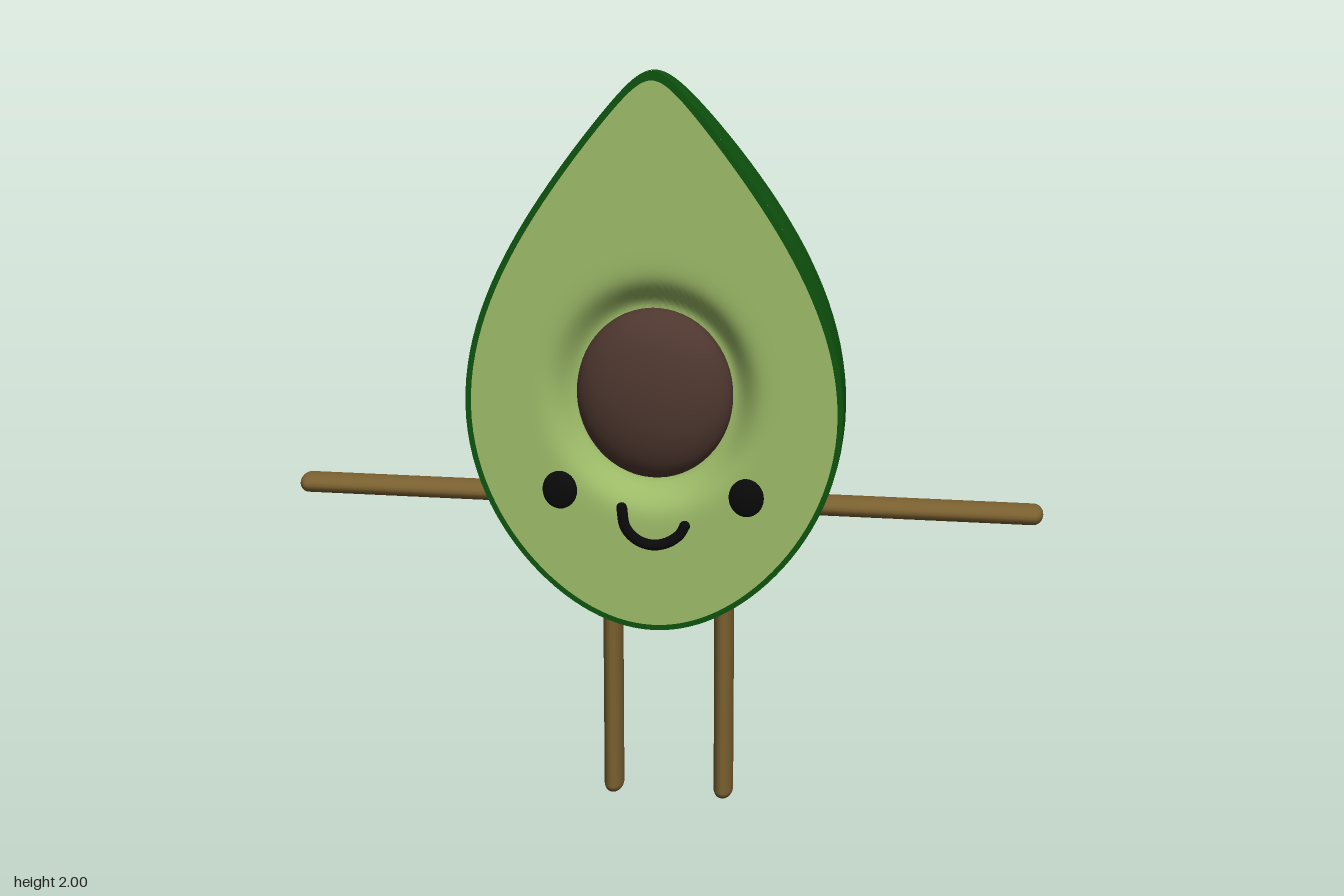
import * as THREE from 'three';
import { ParametricGeometry } from 'three/addons/geometries/ParametricGeometry.js';

const CUT_Z = 0.4; // plane of the sliced front
const PIT = { y: 1.18, rx: 0.2, ry: 0.22 };

// Egg outline, t = 0 at the bottom, PI at the top, running on round the other side
const eggY = (t) => 1.28 - 0.72 * Math.cos(t);
function eggSpan(t, size, lean, pinch) {
  const c = Math.cos(t);
  return size * Math.sin(t) * (1 + lean * c - pinch * c * c);
}
const halfWidth = (t) => eggSpan(t, 0.468, 0.32, 0.3);
const depth = (t) => eggSpan(t, 0.85, 0.22, 0.15);

// Outline of the flesh, set in by the thickness of the skin
const fleshX = (t) => halfWidth(t) * 0.97;
const fleshY = (t) => 0.574 + (eggY(t) - 0.56) * 0.974;

// Smooth hollow in the flesh around the pit
function fleshZ(x, y) {
  const q = Math.max(1, Math.hypot(x / PIT.rx, (y - PIT.y) / PIT.ry));
  return CUT_Z - 0.06 * Math.exp(-(((q - 1) / 0.25) ** 2));
}

export function createModel() {
  const model = new THREE.Group();
  const mat = (name, color) => {
    const m = new THREE.MeshStandardMaterial({ color });
    m.name = name;
    return m;
  };
  const skinGreen = mat('skinGreen', 0x0f540f);
  const fleshGreen = mat('fleshGreen', 0x9dbb68);
  const pitBrown = mat('pitBrown', 0x4e372f);
  const woodBrown = mat('woodBrown', 0x7a6030);
  const black = mat('black', 0x0a0a0a);

  const add = (name, geometry, material, x = 0, y = 0, z = 0) => {
    const mesh = new THREE.Mesh(geometry, material);
    mesh.name = name;
    mesh.position.set(x, y, z);
    model.add(mesh);
    return mesh;
  };

  // Rounded back of the fruit
  add('skin', new ParametricGeometry((u, v, p) => {
    const t = Math.PI * (0.002 + 0.996 * v);
    const a = Math.PI * u;
    p.set(halfWidth(t) * Math.cos(a), eggY(t), CUT_Z - depth(t) * Math.sin(a));
  }, 48, 64), skinGreen);

  // Thin edge of skin around the cut
  add('skinRim', new ParametricGeometry((u, v, p) => {
    const t = 2 * Math.PI * u;
    p.set(
      THREE.MathUtils.lerp(halfWidth(t), fleshX(t), v),
      THREE.MathUtils.lerp(eggY(t), fleshY(t), v),
      CUT_Z,
    );
  }, 128, 1), skinGreen);

  // Cut face with the hollow for the pit
  add('flesh', new ParametricGeometry((u, v, p) => {
    const t = 2 * Math.PI * u;
    const r = 1 - 0.999 * v;
    const x = fleshX(t) * r;
    const y = PIT.y + (fleshY(t) - PIT.y) * r;
    p.set(x, y, fleshZ(x, y));
  }, 128, 48), fleshGreen);

  // Pit
  const pit = add('pit', new THREE.SphereGeometry(1, 48, 32), pitBrown, 0, PIT.y, 0.36);
  pit.scale.set(PIT.rx, PIT.ry, 0.1);

  // Smile
  const smile = [[-0.08, 0.885], [-0.07, 0.835], [-0.04, 0.803], [0, 0.791],
    [0.04, 0.8], [0.07, 0.822], [0.083, 0.845]]
    .map(([x, y]) => new THREE.Vector3(x, y, fleshZ(x, y) + 0.003));
  add('mouth', new THREE.TubeGeometry(new THREE.CatmullRomCurve3(smile), 40, 0.014, 10), black);
  for (const end of [smile[0], smile[smile.length - 1]]) {
    add('mouthEnd', new THREE.SphereGeometry(0.014, 12, 8), black, end.x, end.y, end.z);
  }

  // Eyes, arms and legs, mirrored
  for (const side of [1, -1]) {
    const label = side > 0 ? 'left' : 'right';

    const eye = add(label + 'Eye', new THREE.SphereGeometry(1, 24, 16), black, side * 0.24, 0.926, CUT_Z);
    eye.scale.set(0.045, 0.05, 0.018);

    const arm = add(label + 'Arm', new THREE.CapsuleGeometry(0.026, 0.598, 8, 20), woodBrown, side * 0.657, 0.86, 0.21);
    arm.rotation.z = Math.PI / 2;
    arm.scale.z = 1.75;

    const leg = add(label + 'Leg', new THREE.CapsuleGeometry(0.026, 0.648, 8, 20), woodBrown, side * 0.15, 0.35, 0.145);
    leg.scale.z = 1.8;
  }

  return model;
}
